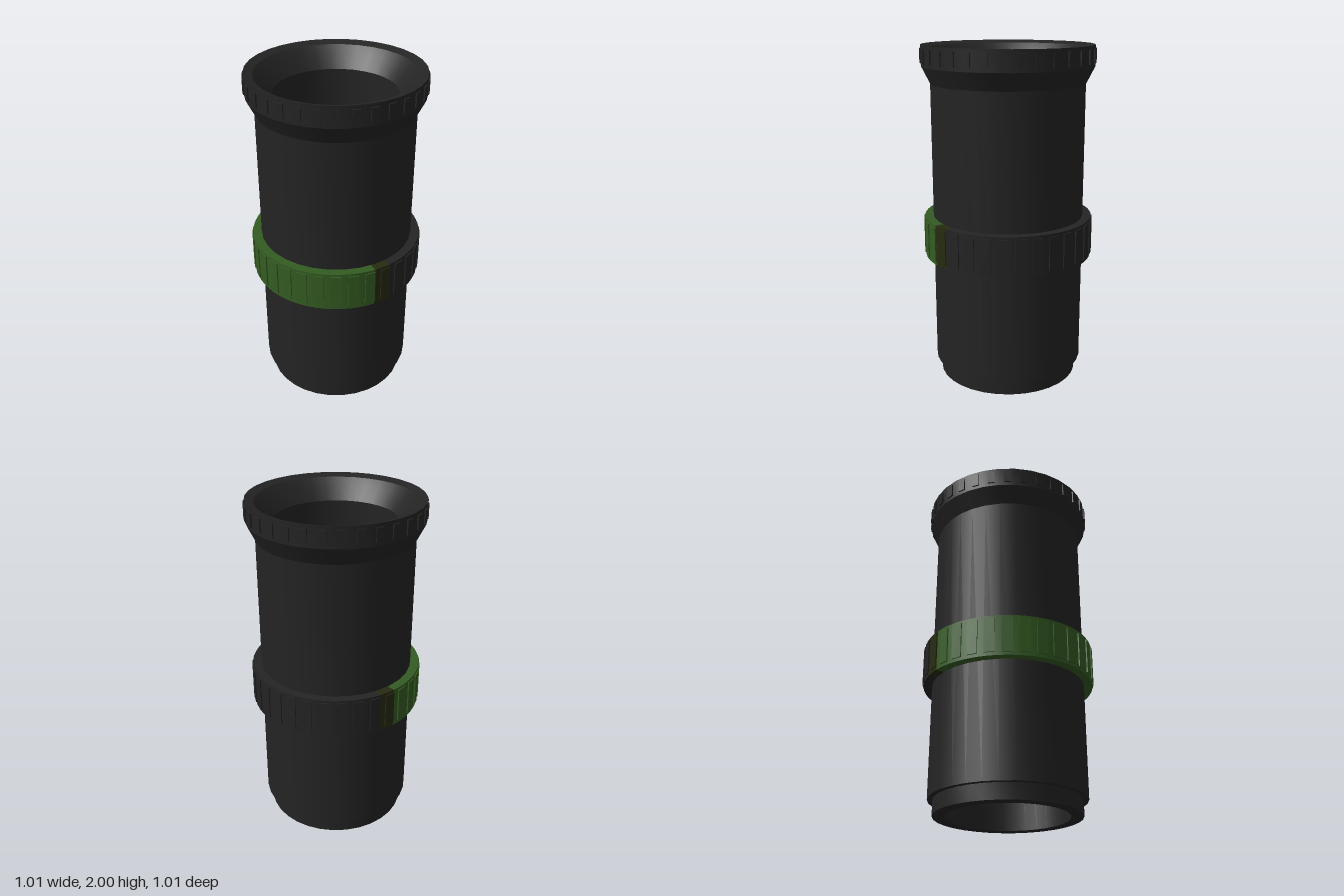
import * as THREE from 'three';
import { mergeGeometries, toCreasedNormals } from 'three/addons/utils/BufferGeometryUtils.js';

const COUNT = 32;                       // facets and grip ribs around the tube
const STEP = (Math.PI * 2) / COUNT;
const RIB_START = 0.037;                // angle from +x where the first rib begins

function material(name, color) {
  const m = new THREE.MeshStandardMaterial({ color });
  m.name = name;
  return m;
}

// Revolve a profile of [radius, height] pairs with crisp edges
function revolve(profile, segments = COUNT, start = 0, length = Math.PI * 2) {
  const pts = profile.map(([r, y]) => new THREE.Vector2(r, y));
  return toCreasedNormals(new THREE.LatheGeometry(pts, segments, start, length), 0.35);
}

// Raised ribs numbered from..to-1, counted from +x towards +z
function ribs(from, to, width, y0, y1) {
  const depth = 0.02, outer = 0.506, list = [];
  for (let k = from; k < to; k++) {
    const g = new THREE.BoxGeometry(width, y1 - y0, depth);
    g.translate(0, (y0 + y1) / 2, outer - depth / 2);
    g.rotateY(Math.PI / 2 - (k + 0.5) * STEP);
    list.push(g);
  }
  return mergeGeometries(list);
}

export function createModel() {
  const model = new THREE.Group();
  model.name = 'ringedTube';
  const black = material('black', 0x242424);
  const green = material('green', 0x345c22);
  const olive = material('darkOlive', 0x272b10);

  const add = (parent, name, geometry, mat) => {
    const mesh = new THREE.Mesh(geometry, mat);
    mesh.name = name;
    parent.add(mesh);
  };

  // Hollow body: stepped foot, straight wall, flared lip, funnel mouth, bore
  add(model, 'tubeBody', revolve([
    [0.35, 0], [0.42, 0], [0.42, 0.09], [0.45, 0.09], [0.45, 1.78],
    [0.5, 1.88], [0.5, 2], [0.45, 1.985], [0.415, 1.95], [0.35, 1.87], [0.35, 0],
  ]), black);

  // Small grips around the lip
  add(model, 'lipGrips', ribs(0, COUNT, 0.042, 1.9, 1.98), black);

  // Ribbed ring: green front, black back, one olive section at each join
  const ring = new THREE.Group();
  ring.name = 'ring';
  model.add(ring);
  const sections = [
    ['leftJoin', 0, 1, olive],
    ['frontHalf', 1, 16, green],
    ['rightJoin', 16, 17, olive],
    ['backHalf', 17, 32, black],
  ];
  for (const [name, from, to, mat] of sections) {
    const start = Math.PI / 2 - RIB_START - to * STEP;
    const band = revolve([[0.44, 0.76], [0.5, 0.76], [0.5, 1], [0.44, 1]],
      (to - from) * 2, start, (to - from) * STEP);
    add(ring, name + 'Band', band, mat);
    add(ring, name + 'Ribs', ribs(from, to, 0.06, 0.78, 0.985), mat);
  }
  return model;
}
